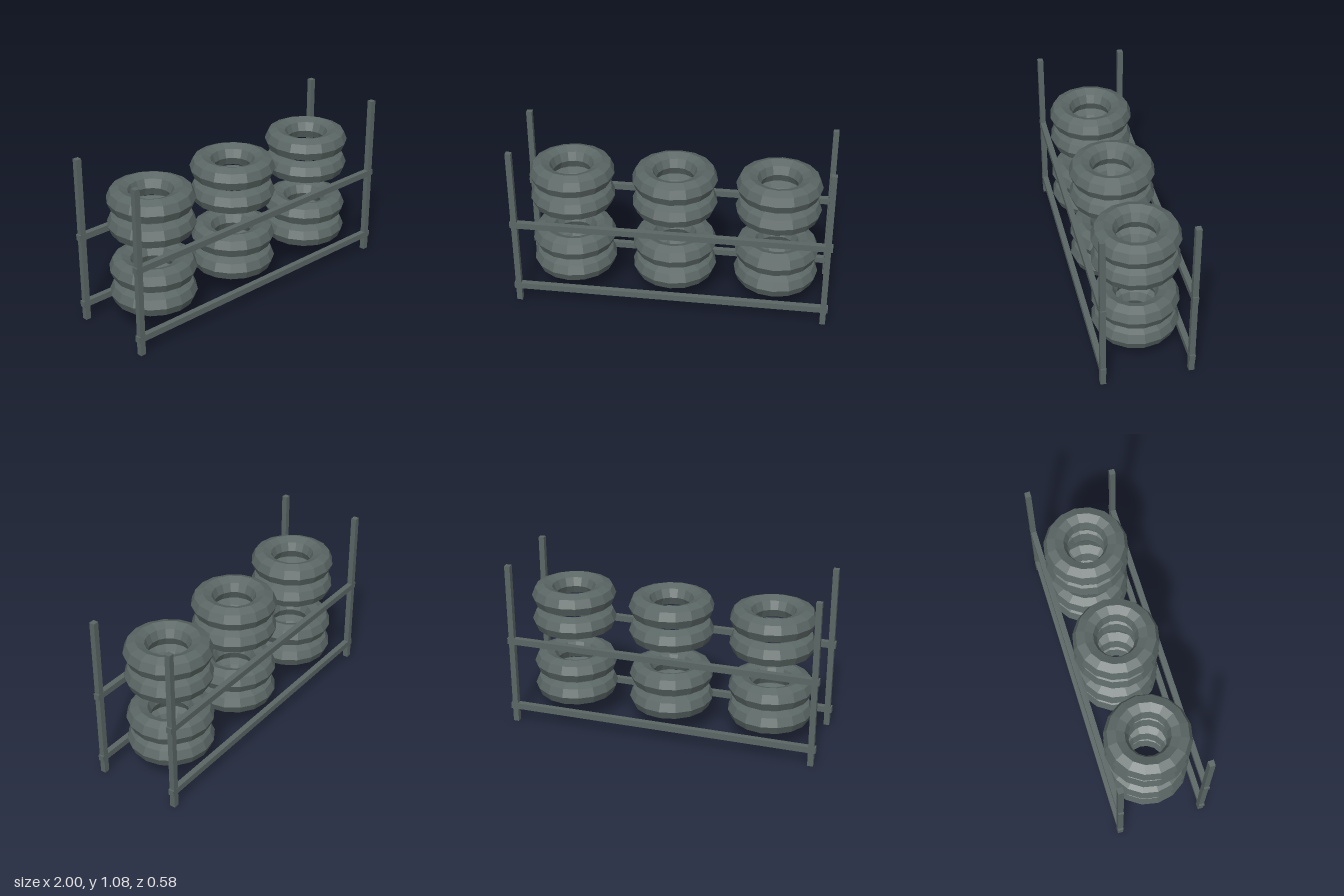
import * as THREE from 'three';

export function createModel() {
  const model = new THREE.Group();
  model.name = 'tyreRack';

  const slate = new THREE.MeshStandardMaterial({ color: 0x5a6664, flatShading: true });
  slate.name = 'slate grey';

  const add = (name, geometry, x, y, z) => {
    const mesh = new THREE.Mesh(geometry, slate);
    mesh.name = name;
    mesh.position.set(x, y, z);
    model.add(mesh);
  };

  // Frame: four upright posts and two levels of long rails
  const postGeometry = new THREE.BoxGeometry(0.036, 1.08, 0.035);
  const railGeometry = new THREE.BoxGeometry(2, 0.04, 0.036);
  for (const z of [0.271, -0.271]) {
    for (const x of [0.972, -0.972]) add('post', postGeometry, x, 0.54, z);
    for (const y of [0.11, 0.57]) add('rail', railGeometry, 0, y, z);
  }

  // Tyres: three stacks of two on each level
  const tyreGeometry = new THREE.TorusGeometry(0.193, 0.0755, 8, 16).rotateX(Math.PI / 2);
  for (const x of [-0.65, 0, 0.65]) {
    for (const y of [0.207, 0.367, 0.667, 0.827]) add('tyre', tyreGeometry, x, y, 0);
  }

  return model;
}
